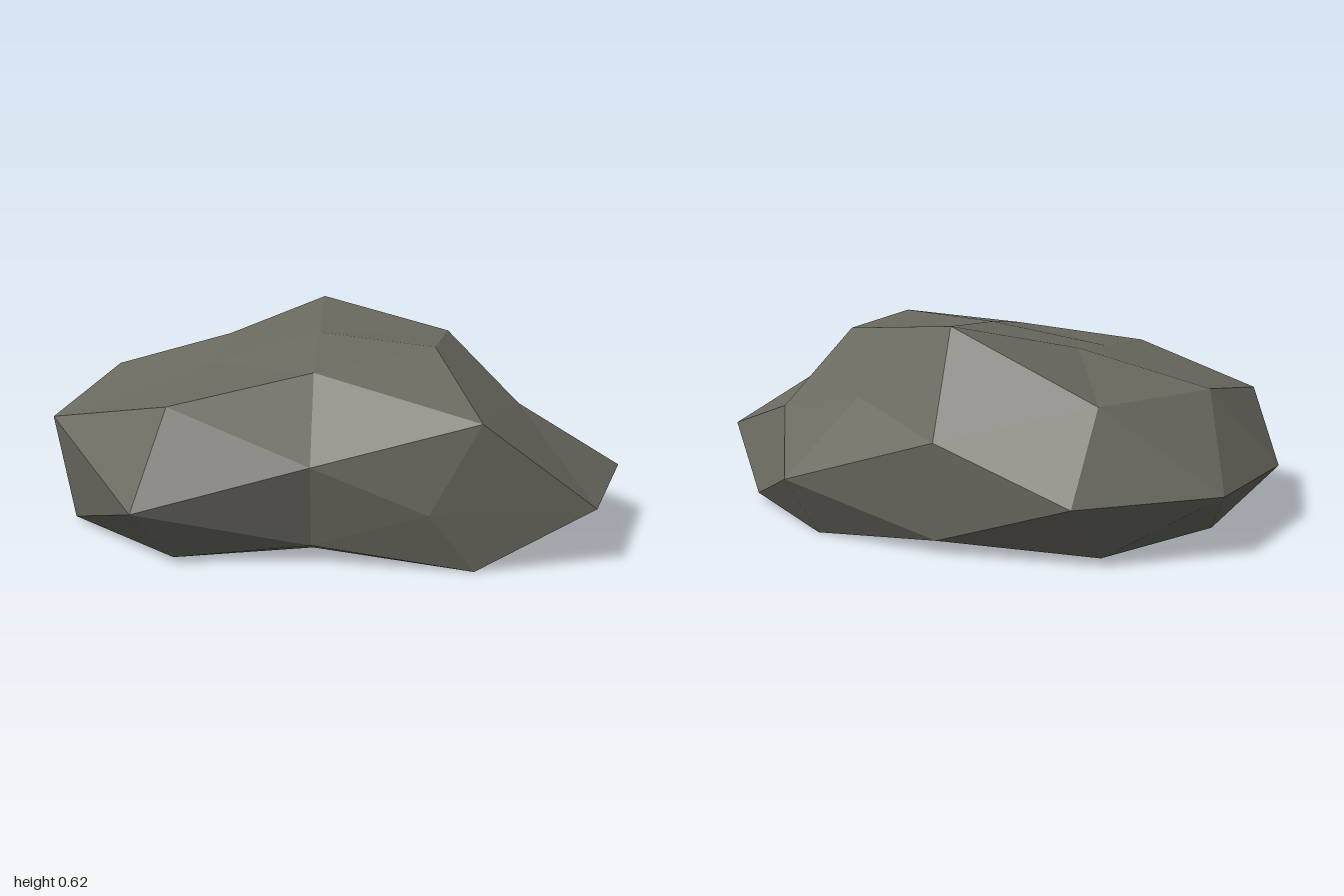
import * as THREE from 'three';

// Rock radii by icosphere direction; signs run (+x+z, -x+z, +x-z, -x-z)
const FAMILIES = [
  // waist ring and crown
  { dir: [1, 0, 0], r: [1.03, 0.97] },
  { dir: [0, 0, 1], r: [1.035, 1.035, 0.94, 0.94] },
  { dir: [0.851, 0, 0.526], r: [0.8, 0.975, 1.034, 0.94] },
  { dir: [0, 1, 0], r: [0.736] },
  { dir: [0.526, 0.851, 0], r: [0.875, 0.76] },
  // upper half
  { dir: [0, 0.526, 0.851], r: [0.995, 0.995, 0.74, 0.74] },
  { dir: [0.809, 0.5, 0.309], r: [0.977, 0.89, 0.795, 0.877] },
  { dir: [0.309, 0.809, 0.5], r: [0.805, 0.72, 0.872, 1.0] },
  { dir: [0.5, 0.309, 0.809], r: [0.79, 1.035, 0.8, 0.85] },
  // lower half, pressed flat on the ground
  { dir: [0, -1, 0], r: [0.9] },
  { dir: [0.526, -0.851, 0], r: [0.9, 0.9] },
  { dir: [0, -0.526, 0.851], r: [0.98, 0.98, 0.95, 0.95] },
  { dir: [0.809, -0.5, 0.309], r: [0.955, 0.91, 0.95, 0.91] },
  { dir: [0.309, -0.809, 0.5], r: [0.9, 0.9, 0.9, 0.9] },
  { dir: [0.5, -0.309, 0.809], r: [0.72, 0.97, 0.91, 0.82] },
];

// Expand every family into signed directions with a radius
function makeBumps() {
  const bumps = [];
  for (const { dir, r } of FAMILIES) {
    r.forEach((radius, i) => {
      const sx = i & 1 ? -1 : 1;
      const sz = i & 2 ? -1 : 1;
      bumps.push({ d: new THREE.Vector3(dir[0] * sx, dir[1], dir[2] * sz), radius });
    });
  }
  return bumps;
}

export function createModel() {
  const group = new THREE.Group();
  group.name = 'boulder';
  const stone = new THREE.MeshStandardMaterial({ color: 0x6b6a60 });
  stone.name = 'greyStone';

  const bumps = makeBumps();
  const geometry = new THREE.IcosahedronGeometry(1, 1);
  const pos = geometry.attributes.position;
  const scale = new THREE.Vector3(1, 0.55, 0.85);
  const centre = new THREE.Vector3(-0.03, 0.18, -0.04);
  const v = new THREE.Vector3();

  for (let i = 0; i < pos.count; i++) {
    v.fromBufferAttribute(pos, i);
    let best = bumps[0];
    for (const b of bumps) if (b.d.dot(v) > best.d.dot(v)) best = b;
    v.multiplyScalar(best.radius).multiply(scale).add(centre);
    pos.setXYZ(i, v.x, Math.max(0, v.y), v.z);
  }
  // Unshared corners give faceted normals
  geometry.computeVertexNormals();

  const rock = new THREE.Mesh(geometry, stone);
  rock.name = 'rock';
  group.add(rock);
  return group;
}
